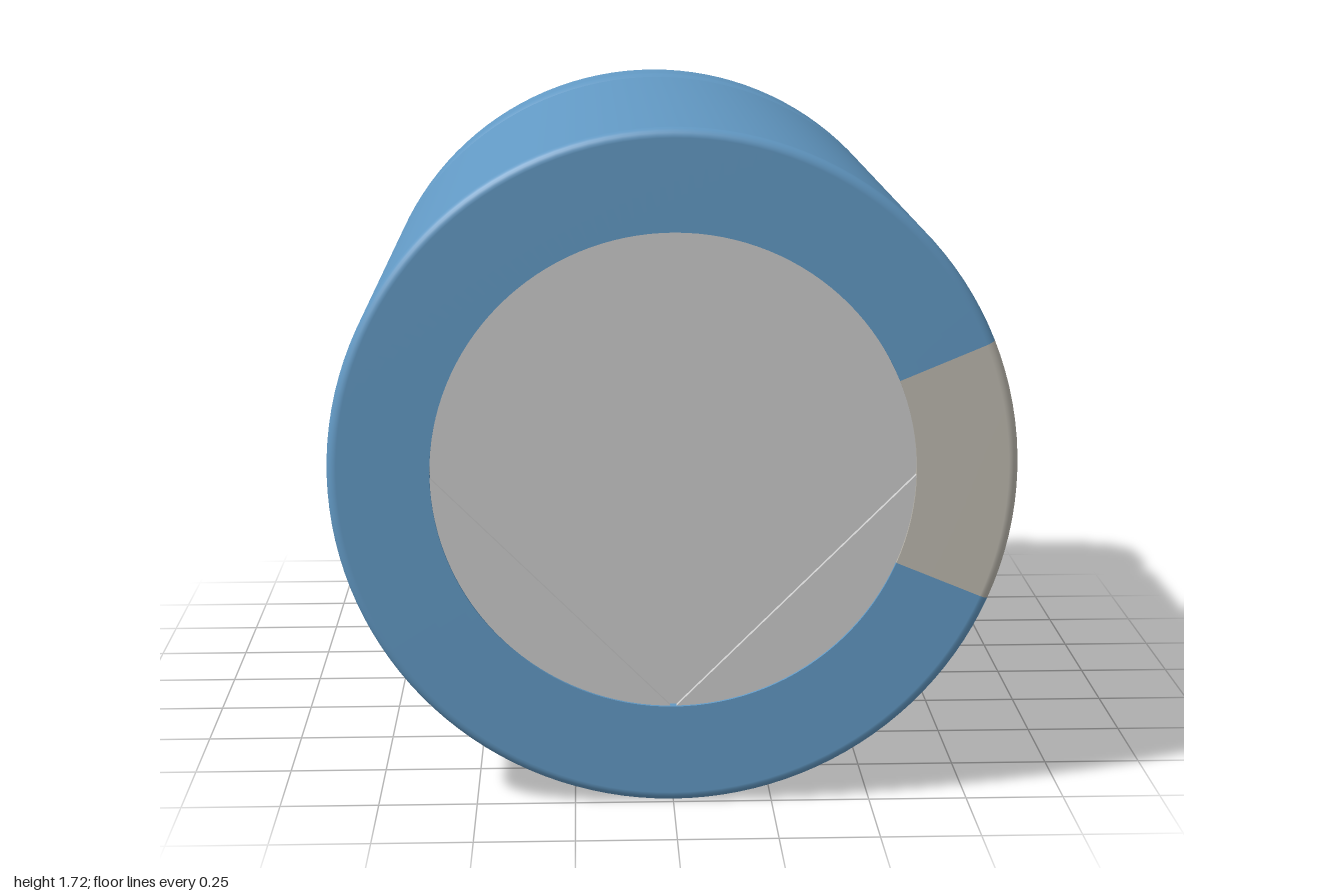
import * as THREE from 'three';
import { ParametricGeometry } from 'three/addons/geometries/ParametricGeometry.js';

const R = 0.86, FRONT = 1, BACK = -0.725, INNER = 0.605, FILLET = 0.025;
const GROOVE_Z = -0.5, GROOVE_HALF = 0.07, GROOVE_DEPTH = 0.032;
const STRIPE_HALF = 0.395;

const paint = (color) => new THREE.MeshStandardMaterial({ color, side: THREE.DoubleSide });

// Can radius along its length, with the crimped groove near the back
function radiusAt(z) {
  const t = (z - GROOVE_Z) / GROOVE_HALF;
  return Math.abs(t) < 1 ? R - GROOVE_DEPTH * (0.5 + 0.5 * Math.cos(Math.PI * t)) : R;
}

// Sleeve outline as (radius, z), running from the back rim to the front rim
function sleeveProfile() {
  const p = [];
  const add = (r, z) => p.push(new THREE.Vector2(r, z));
  const fillet = (zc, from) => {
    for (let i = 0; i <= 6; i++) {
      const a = from + (i / 6) * Math.PI / 2;
      add(R - FILLET + FILLET * Math.cos(a), zc + FILLET * Math.sin(a));
    }
  };
  add(INNER, BACK + 0.03);
  add(INNER, BACK);
  add(INNER, BACK); // doubled points keep the rim sharp
  fillet(BACK + FILLET, -Math.PI / 2);
  for (let i = 0; i <= 16; i++) {
    const z = GROOVE_Z + GROOVE_HALF * (i / 8 - 1);
    add(radiusAt(z), z);
  }
  fillet(FRONT - FILLET, 0);
  add(INNER, FRONT);
  add(INNER, FRONT);
  add(INNER, FRONT - 0.03);
  return p;
}

export function createModel() {
  const model = new THREE.Group();
  model.name = 'capacitor';
  const body = new THREE.Group();
  body.name = 'body';
  body.position.y = R;
  model.add(body);

  const blue = paint(0x6299c4), stripeMat = paint(0xbdb9af);
  const grey = paint(0xcccccc), dark = paint(0x626262);

  const add = (name, geometry, material, x = 0, y = 0, z = 0) => {
    const mesh = new THREE.Mesh(geometry, material);
    mesh.name = name;
    mesh.position.set(x, y, z);
    body.add(mesh);
    return mesh;
  };

  // Sleeve and polarity stripe share one profile, swept over different arcs
  const profile = sleeveProfile();
  const sweep = (start, length, segments) =>
    new THREE.LatheGeometry(profile, segments, start, length).rotateX(Math.PI / 2);
  add('sleeve', sweep(Math.PI / 2 + STRIPE_HALF, 2 * Math.PI - 2 * STRIPE_HALF, 112), blue);
  add('polarityStripe', sweep(Math.PI / 2 - STRIPE_HALF, 2 * STRIPE_HALF, 16), stripeMat);

  // Dark rounded dashes wrapped onto the stripe, following the groove
  const len = 0.275, cap = 0.035;
  [0.695, 0.14, -0.415].forEach((zc) => {
    const dash = new ParametricGeometry((u, v, target) => {
      const s = -Math.cos(Math.PI * u) * len / 2;
      const over = Math.max(0, Math.abs(s) - (len / 2 - cap));
      const half = Math.sqrt(Math.max(0, cap * cap - over * over));
      const a = ((v * 2 - 1) * half) / R;
      const r = radiusAt(zc + s) + 0.003;
      target.set(r * Math.cos(a), r * Math.sin(a), zc + s);
    }, 40, 4);
    add('stripeDash', dash, dark);
  });

  // Front vent: four raised quadrants separated by a scored cross
  add('ventFloor', new THREE.CircleGeometry(INNER, 96), grey, 0, 0, FRONT - 0.022);
  const gap = 0.008, edge = Math.asin(gap / INNER);
  const quadrant = new THREE.Shape();
  quadrant.moveTo(gap, gap);
  quadrant.absarc(0, 0, INNER, edge, Math.PI / 2 - edge, false);
  quadrant.closePath();
  const quadrantGeometry = new THREE.ExtrudeGeometry(quadrant, {
    depth: 0.014, bevelEnabled: false, curveSegments: 28,
  });
  for (let i = 0; i < 4; i++) {
    add('ventQuadrant', quadrantGeometry, grey, 0, 0, FRONT - 0.022).rotation.z = i * Math.PI / 2;
  }

  // Slightly sunken base disc at the back
  const base = new THREE.CircleGeometry(INNER, 96).rotateY(Math.PI);
  add('baseDisc', base, blue, 0, 0, BACK + 0.015);

  // Two terminal pins, one a touch longer
  [[-0.52, -1], [0.515, -0.987]].forEach(([x, tip]) => {
    const root = BACK + 0.02;
    const pin = new THREE.CylinderGeometry(0.061, 0.061, root - tip, 32).rotateX(Math.PI / 2);
    add('terminalPin', pin, grey, x, 0, (root + tip) / 2);
  });

  return model;
}
